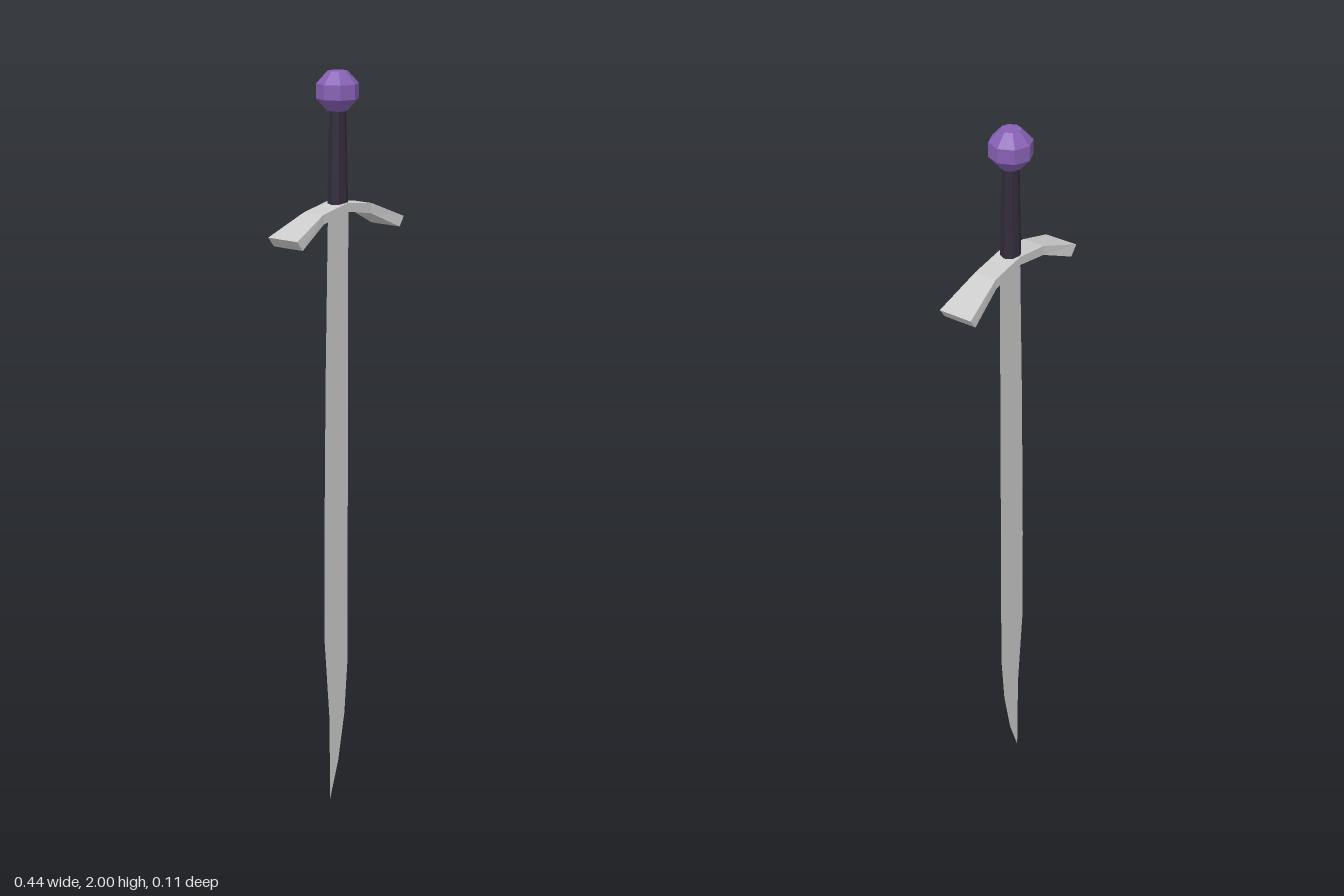
import * as THREE from 'three';

const material = (color, side = THREE.FrontSide) =>
  new THREE.MeshStandardMaterial({ color, flatShading: true, side });

function part(name, geometry, mat) {
  const mesh = new THREE.Mesh(geometry, mat);
  mesh.name = name;
  return mesh;
}

// Flat sheet blade: curved cutting edge, clipped back near the tip
function bladeGeometry() {
  const outline = [
    [-0.042, 1.66], [-0.053, 1.24], [-0.06, 0.79], [-0.06, 0.49],
    [-0.04, 0.26], [-0.037, 0.005], [0, 0.11], [0.028, 0.245],
    [0.042, 0.4], [0.042, 1.66],
  ];
  return new THREE.ShapeGeometry(
    new THREE.Shape(outline.map(([x, y]) => new THREE.Vector2(x, y))));
}

// Arched bar that flares in depth toward both ends
function guardGeometry() {
  // each station: top x, top y, bottom x, bottom y, half depth
  const stations = [
    [-0.221, 1.619, -0.2, 1.594, 0.045],
    [-0.1, 1.664, -0.098, 1.64, 0.03],
    [0, 1.679, 0, 1.657, 0.03],
    [0.1, 1.664, 0.098, 1.638, 0.03],
    [0.221, 1.614, 0.203, 1.589, 0.045],
  ];
  const geometry = new THREE.BoxGeometry(4, 1, 2, 4, 1, 1);
  const pos = geometry.attributes.position;
  for (let i = 0; i < pos.count; i++) {
    const [tx, ty, bx, by, depth] = stations[Math.round(pos.getX(i) + 2)];
    const top = pos.getY(i) > 0;
    pos.setXYZ(i, top ? tx : bx, top ? ty : by, Math.sign(pos.getZ(i)) * depth);
  }
  geometry.computeVertexNormals();
  return geometry;
}

// Faceted eight-sided knob with flat caps
function pommelGeometry() {
  const profile = [
    [0, 1.904], [0.025, 1.904], [0.053, 1.934], [0.053, 1.97], [0.025, 2], [0, 2],
  ];
  return new THREE.LatheGeometry(profile.map(([r, y]) => new THREE.Vector2(r, y)), 8);
}

export function createModel() {
  const model = new THREE.Group();
  model.name = 'sword';

  const blade = part('blade', bladeGeometry(), material(0xcccccc, THREE.DoubleSide));
  const guard = part('crossGuard', guardGeometry(), material(0xcccccc));

  // Grip tapers slightly toward the pommel
  const grip = part('grip', new THREE.CylinderGeometry(0.021, 0.026, 0.25, 8), material(0x332b3a));
  grip.position.set(-0.002, 1.795, 0);

  const pommel = part('pommel', pommelGeometry(), material(0x8660b4));
  pommel.position.x = -0.003;

  model.add(blade, guard, grip, pommel);
  return model;
}
